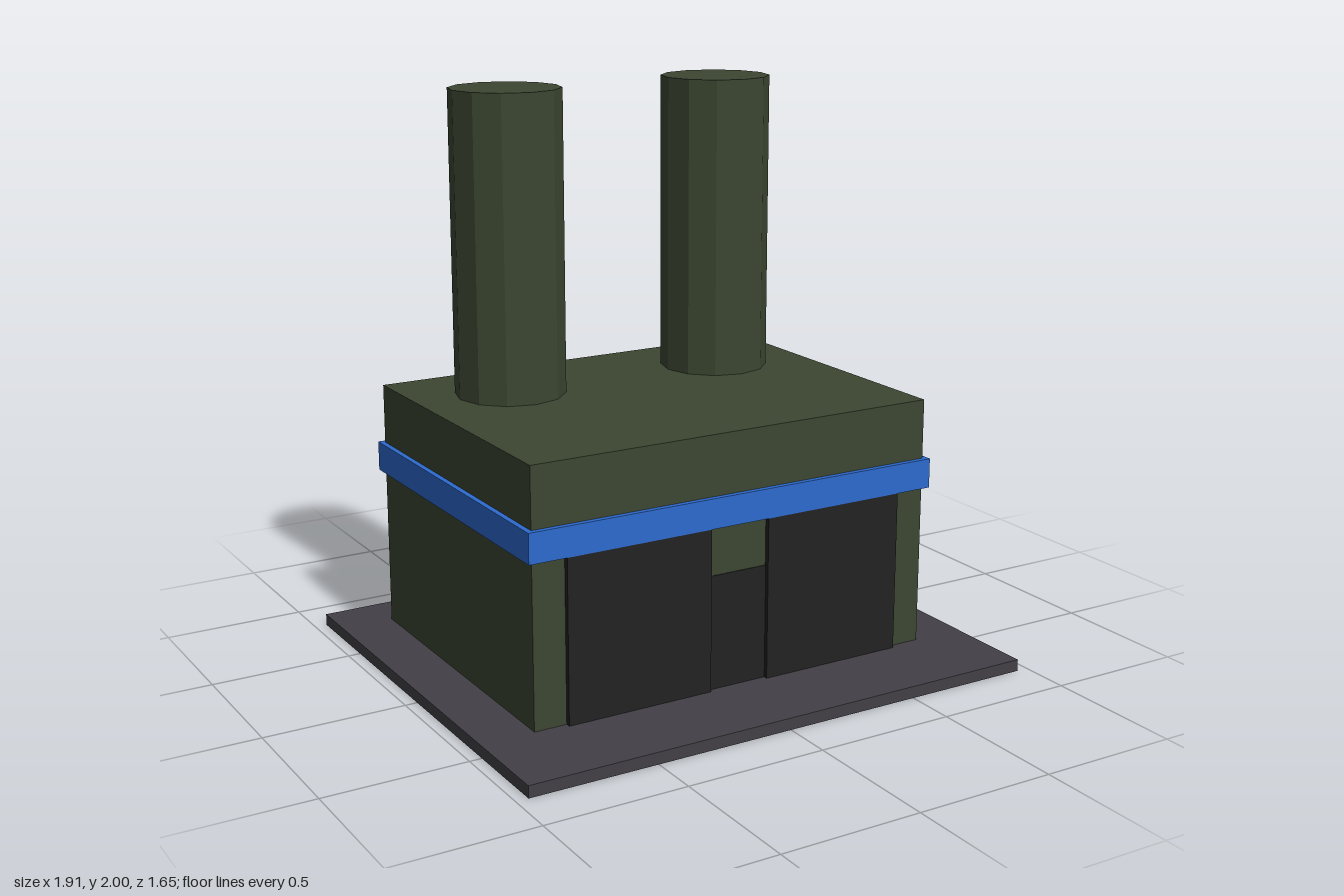
import * as THREE from 'three';

export function createModel() {
  const model = new THREE.Group();
  const material = (name, color) => {
    const m = new THREE.MeshStandardMaterial({ color, flatShading: true });
    m.name = name;
    return m;
  };
  const green = material('dark green', 0x3c4632);
  const blue = material('blue trim', 0x2d6bcf);
  const black = material('door black', 0x222222);
  const grey = material('slab grey', 0x424046);

  // Box given by its minimum and maximum corners
  const box = (name, mat, [x0, y0, z0], [x1, y1, z1]) => {
    const mesh = new THREE.Mesh(new THREE.BoxGeometry(x1 - x0, y1 - y0, z1 - z0), mat);
    mesh.position.set((x0 + x1) / 2, (y0 + y1) / 2, (z0 + z1) / 2);
    mesh.name = name;
    model.add(mesh);
  };

  // Ground slab, building and the band around it
  box('baseSlab', grey, [-0.957, 0, -0.823], [0.957, 0.042, 0.823]);
  box('building', green, [-0.767, 0.042, -0.655], [0.767, 0.932, 0.493]);
  box('trimBand', blue, [-0.786, 0.615, -0.674], [0.786, 0.72, 0.512]);

  // Door: two raised side panels and a shallow, lower middle panel
  box('doorPanelRight', black, [-0.65, 0.042, 0.48], [-0.112, 0.615, 0.511]);
  box('doorPanelLeft', black, [0.112, 0.042, 0.48], [0.65, 0.615, 0.511]);
  box('doorPanelMiddle', black, [-0.112, 0.042, 0.48], [0.112, 0.446, 0.496]);

  // Pair of chimneys at the back
  const chimneyShape = new THREE.CylinderGeometry(0.196, 0.196, 1.07, 12);
  for (const side of [-1, 1]) {
    const chimney = new THREE.Mesh(chimneyShape, green);
    chimney.name = side < 0 ? 'chimneyRight' : 'chimneyLeft';
    chimney.position.set(side * 0.421, 1.465, -0.332);
    model.add(chimney);
  }

  return model;
}
